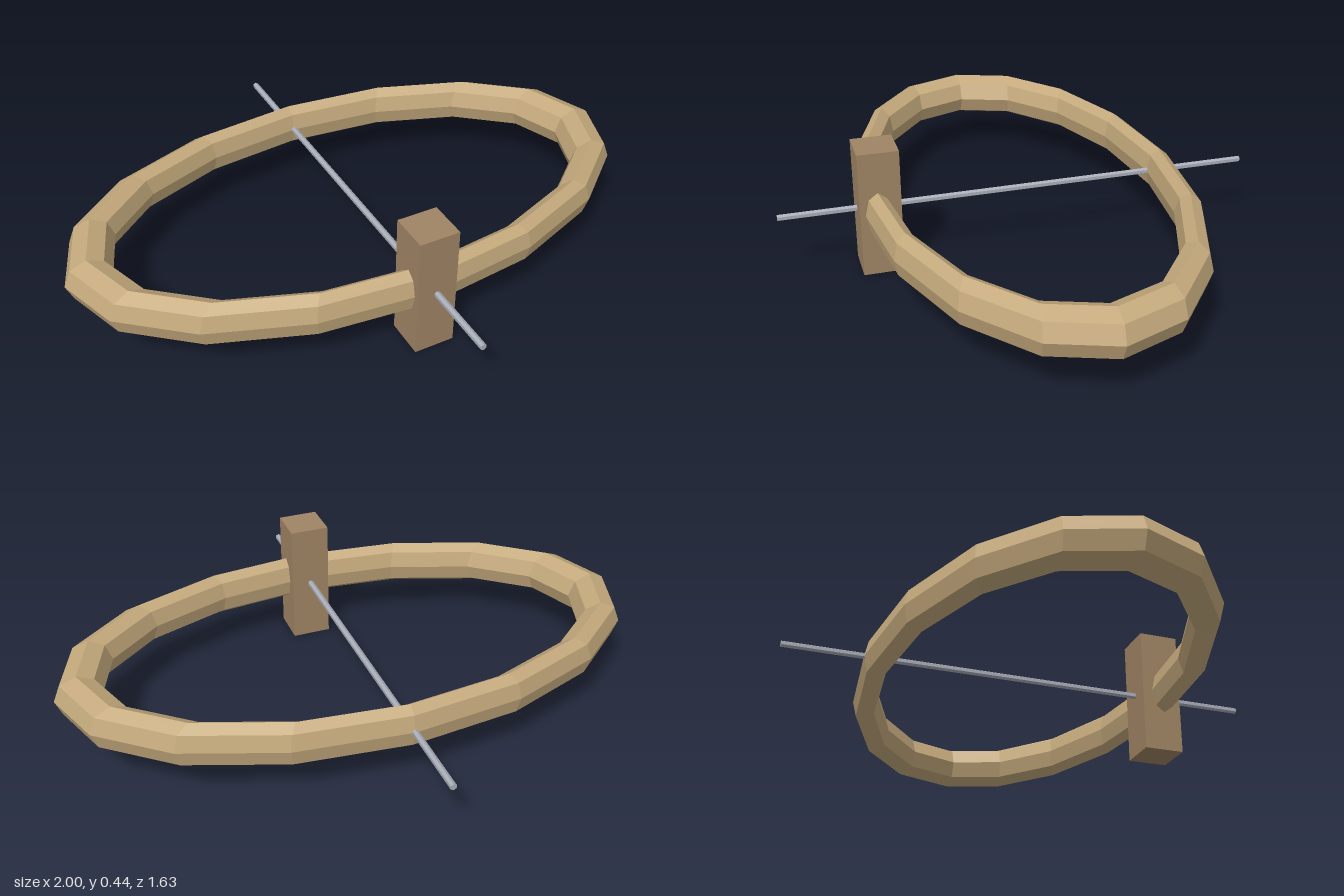
import * as THREE from 'three';

const AXIS_Y = 0.218; // shared height of ring and rod

function addPart(group, name, geometry, color) {
  const material = new THREE.MeshStandardMaterial({ color, flatShading: true });
  const mesh = new THREE.Mesh(geometry, material);
  mesh.name = name;
  group.add(mesh);
  return mesh;
}

export function createModel() {
  const group = new THREE.Group();
  group.name = 'ringOnRod';

  // Faceted wooden ring, laid flat and squashed to an oval
  const ring = new THREE.TorusGeometry(0.922, 0.078, 8, 16);
  ring.rotateX(-Math.PI / 2);
  ring.scale(1, 1, 0.548);
  addPart(group, 'ovalRing', ring, 0xc4a97c).position.y = AXIS_Y;

  // Upright wooden block at the front of the ring
  const block = new THREE.BoxGeometry(0.137, 0.435, 0.137);
  addPart(group, 'frontBlock', block, 0xa08464).position.set(0, 0.2175, 0.49);

  // Thin hexagonal metal rod running front to back
  const rod = new THREE.CylinderGeometry(0.011, 0.011, 1.635, 6);
  rod.rotateX(Math.PI / 2);
  addPart(group, 'rod', rod, 0xa9adb8).position.y = AXIS_Y;

  return group;
}
